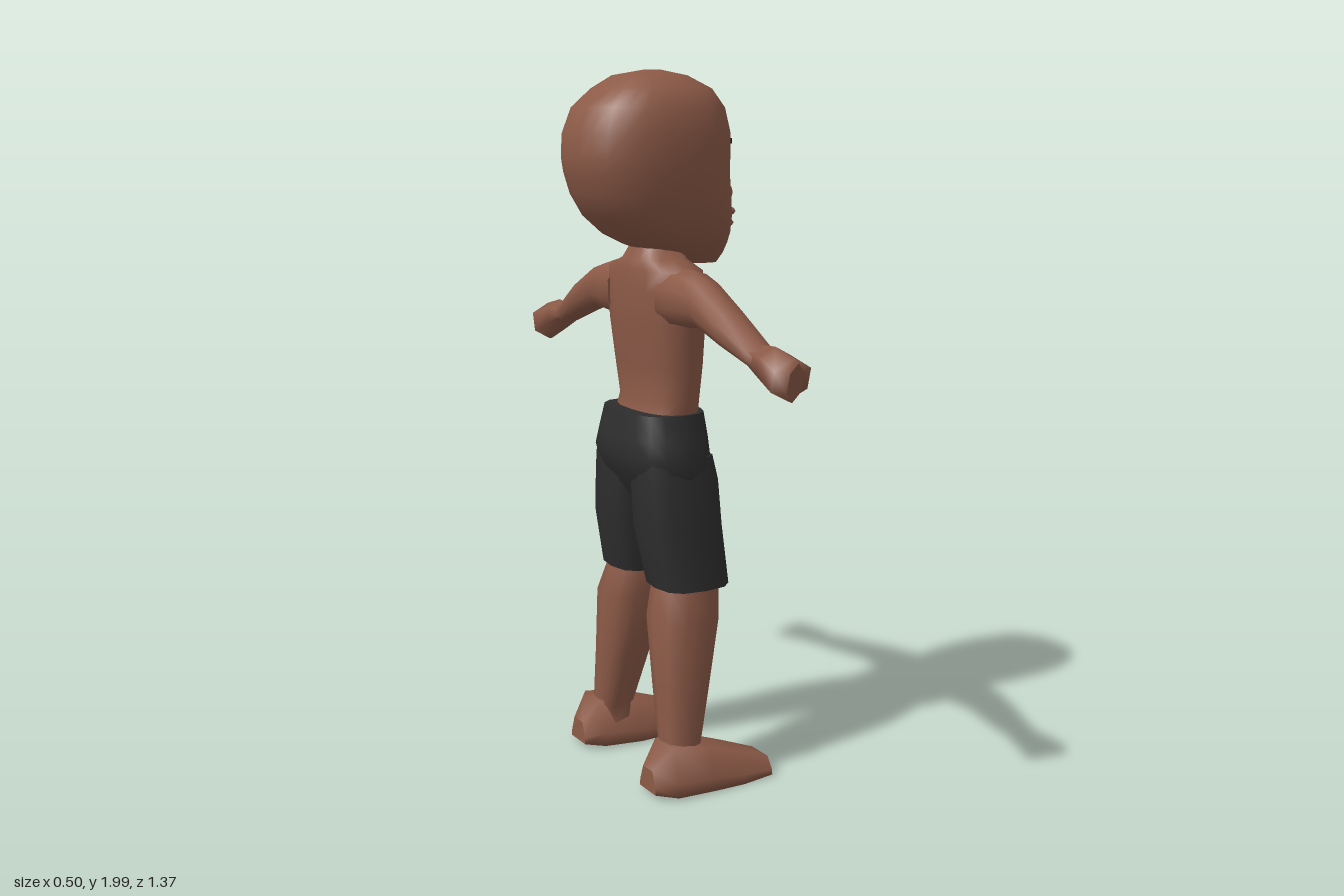
import * as THREE from 'three';

const mat = (name, color) => {
  const m = new THREE.MeshStandardMaterial({ color, side: THREE.DoubleSide });
  m.name = name;
  return m;
};

// Point on a rounded-square ring: half sizes a, b, roundness n
const ringPoint = (t, a, b, n) => {
  const f = (v) => Math.sign(v) * Math.abs(v) ** (2 / n);
  return [a * f(Math.cos(t)), b * f(Math.sin(t))];
};

// Skin a list of rings (arrays of [x, y, z]); caps keep sharp rims
function loft(rings, skip = () => false) {
  const n = rings[0].length, pos = rings.flat(2), idx = [];
  for (let i = 0; i < rings.length - 1; i++) {
    for (let j = 0; j < n; j++) {
      if (skip(i, j)) continue;
      const k = (j + 1) % n, a = i * n + j, b = i * n + k;
      idx.push(a, a + n, b, b, a + n, b + n);
    }
  }
  [rings[0], rings[rings.length - 1]].forEach((ring, end) => {
    const base = pos.length / 3;
    const mid = [0, 1, 2].map((c) => ring.reduce((s, p) => s + p[c], 0) / n);
    pos.push(...ring.flat(), ...mid);
    for (let j = 0; j < n; j++) {
      const a = base + j, b = base + (j + 1) % n;
      idx.push(base + n, ...(end ? [b, a] : [a, b]));
    }
  });
  const g = new THREE.BufferGeometry();
  g.setAttribute('position', new THREE.Float32BufferAttribute(pos, 3));
  g.setIndex(idx);
  g.computeVertexNormals();
  return g;
}

// Horizontal rings from rows of [y, xBack, xFront, zMin, zMax]
const stack = (rows, sides, n, offset = 0) => rows.map(([y, x0, x1, z0, z1]) =>
  Array.from({ length: sides }, (_, j) => {
    const [x, z] = ringPoint(((j + offset) / sides) * Math.PI * 2, (x1 - x0) / 2, (z1 - z0) / 2, n);
    return [(x0 + x1) / 2 + x, y, (z0 + z1) / 2 + z];
  }));

const mirrorZ = (rings, s) => rings.map((r) => r.map(([x, y, z]) => [x, y, z * s]));
const symmetric = (rows) => rows.map(([y, x0, x1, w]) => [y, x0, x1, -w, w]);

export function createModel() {
  const model = new THREE.Group();
  const skin = mat('brown skin', 0x8c5a47);
  const cloth = mat('charcoal cloth', 0x2e2e2e);
  const hair = mat('dark brow', 0x1c1817);
  const add = (name, geometry, material = skin) => {
    const m = new THREE.Mesh(geometry, material);
    m.name = name;
    model.add(m);
    return m;
  };

  // Head with open eye slots
  const headRows = symmetric([
    [1.472, 0.12, 0.2, 0.03], [1.5, 0, 0.213, 0.075], [1.53, -0.08, 0.22, 0.11],
    [1.56, -0.14, 0.223, 0.138], [1.61, -0.195, 0.22, 0.168], [1.67, -0.23, 0.212, 0.183],
    [1.728, -0.248, 0.205, 0.189], [1.765, -0.254, 0.206, 0.191], [1.83, -0.252, 0.207, 0.19],
    [1.9, -0.225, 0.19, 0.176], [1.95, -0.17, 0.155, 0.142], [1.985, -0.115, 0.09, 0.085],
    [2.0, -0.03, 0.02, 0.02]]);
  add('head', loft(stack(headRows, 24, 2.5, 0.5),
    (i, j) => i === 6 && [0, 1, 21, 22].includes(j)));

  // Nose and lips
  const blob = (name, x, y, rx, ry, rz) => {
    const m = add(name, new THREE.SphereGeometry(1, 12, 8));
    m.position.set(x, y, 0);
    m.scale.set(rx, ry, rz);
  };
  blob('nose', 0.205, 1.667, 0.046, 0.036, 0.05);
  blob('upperLip', 0.2, 1.617, 0.045, 0.02, 0.085);
  blob('lowerLip', 0.2, 1.585, 0.044, 0.019, 0.075);

  // Torso and neck
  add('torso', loft(stack(symmetric([
    [1.04, -0.085, 0.095, 0.152], [1.1, -0.06, 0.095, 0.158], [1.2, -0.07, 0.1, 0.175],
    [1.32, -0.085, 0.105, 0.186], [1.41, -0.085, 0.1, 0.195], [1.465, -0.083, 0.092, 0.19],
    [1.492, -0.075, 0.08, 0.1], [1.53, -0.06, 0.07, 0.07]]), 16, 2.5)));

  // Shorts: hips
  add('shortsHips', loft(stack(symmetric([
    [1.07, -0.112, 0.11, 0.165], [1.0, -0.122, 0.115, 0.188], [0.95, -0.132, 0.12, 0.197],
    [0.89, -0.11, 0.12, 0.203], [0.82, -0.07, 0.08, 0.16]]), 16, 2.8), ), cloth);

  for (const s of [1, -1]) {
    const side = s > 0 ? 'left' : 'right';

    // Shorts: leg
    add(side + 'ShortsLeg', loft(mirrorZ(stack([
      [0.95, -0.11, 0.11, 0, 0.19], [0.88, -0.108, 0.122, -0.002, 0.206],
      [0.75, -0.105, 0.128, 0.006, 0.219], [0.58, -0.072, 0.145, 0.026, 0.227]], 12, 2.9), s)), cloth);

    // Leg
    add(side + 'Leg', loft(mirrorZ(stack([
      [0.64, -0.06, 0.125, 0.045, 0.21], [0.57, -0.07, 0.12, 0.045, 0.215],
      [0.49, -0.09, 0.108, 0.05, 0.24], [0.3, -0.088, 0.068, 0.092, 0.243],
      [0.13, -0.088, 0.03, 0.14, 0.245], [0.08, -0.09, 0.035, 0.135, 0.25]], 10, 2.4), s)));

    // Foot: cross-sections from heel to toe, [x, zMin, zMax, yBottom, yTop]
    const foot = [
      [-0.142, 0.165, 0.25, 0.02, 0.085], [-0.09, 0.13, 0.292, 0.016, 0.15],
      [0.03, 0.115, 0.295, 0.012, 0.13], [0.13, 0.125, 0.292, 0.008, 0.095],
      [0.23, 0.155, 0.285, 0.012, 0.06]].map(([x, z0, z1, y0, y1]) => {
      const c = (z0 + z1) / 2, h = (z1 - z0) / 2, low = y0 + (y1 - y0) * 0.3;
      return [[-1, y0], [1, y0], [0.98, low], [0.6, y1], [-0.6, y1], [-0.98, low]]
        .map(([k, y]) => [x, y, c + h * k]);
    });
    add(side + 'Foot', loft(mirrorZ(foot, s)));

    // Arm and fist: cross-sections outward, [z, yBottom, yTop, xBack, xFront, lean]
    const limb = (rows, sides, n) => mirrorZ(rows.map(([z, y0, y1, x0, x1, lean]) =>
      Array.from({ length: sides }, (_, j) => {
        const [y, x] = ringPoint((j / sides) * Math.PI * 2, (y1 - y0) / 2, (x1 - x0) / 2, n);
        return [(x0 + x1) / 2 + x, (y0 + y1) / 2 + y, z + y * lean];
      })), s);
    add(side + 'Arm', loft(limb([
      [0.13, 1.31, 1.475, -0.078, 0.085, 0], [0.2, 1.318, 1.474, -0.072, 0.075, 0],
      [0.28, 1.325, 1.453, -0.062, 0.058, 0], [0.4, 1.29, 1.388, -0.06, 0.052, 0.1],
      [0.52, 1.252, 1.314, -0.042, 0.048, 0.2], [0.56, 1.245, 1.305, -0.04, 0.045, 0.2]], 10, 2.2)));
    add(side + 'Fist', loft(limb([
      [0.51, 1.255, 1.312, -0.04, 0.046, 0.2], [0.575, 1.222, 1.316, -0.05, 0.058, 0.25],
      [0.655, 1.187, 1.296, -0.06, 0.068, 0.25], [0.674, 1.185, 1.288, -0.02, 0.028, 0.25]], 6, 2)));

    // Eyebrow
    const brow = add(side + 'Eyebrow', new THREE.BoxGeometry(0.009, 0.015, 0.042), hair);
    brow.position.set(0.191, 1.81, 0.085 * s);
    brow.rotation.y = -0.4 * s;
  }
  return model;
}
